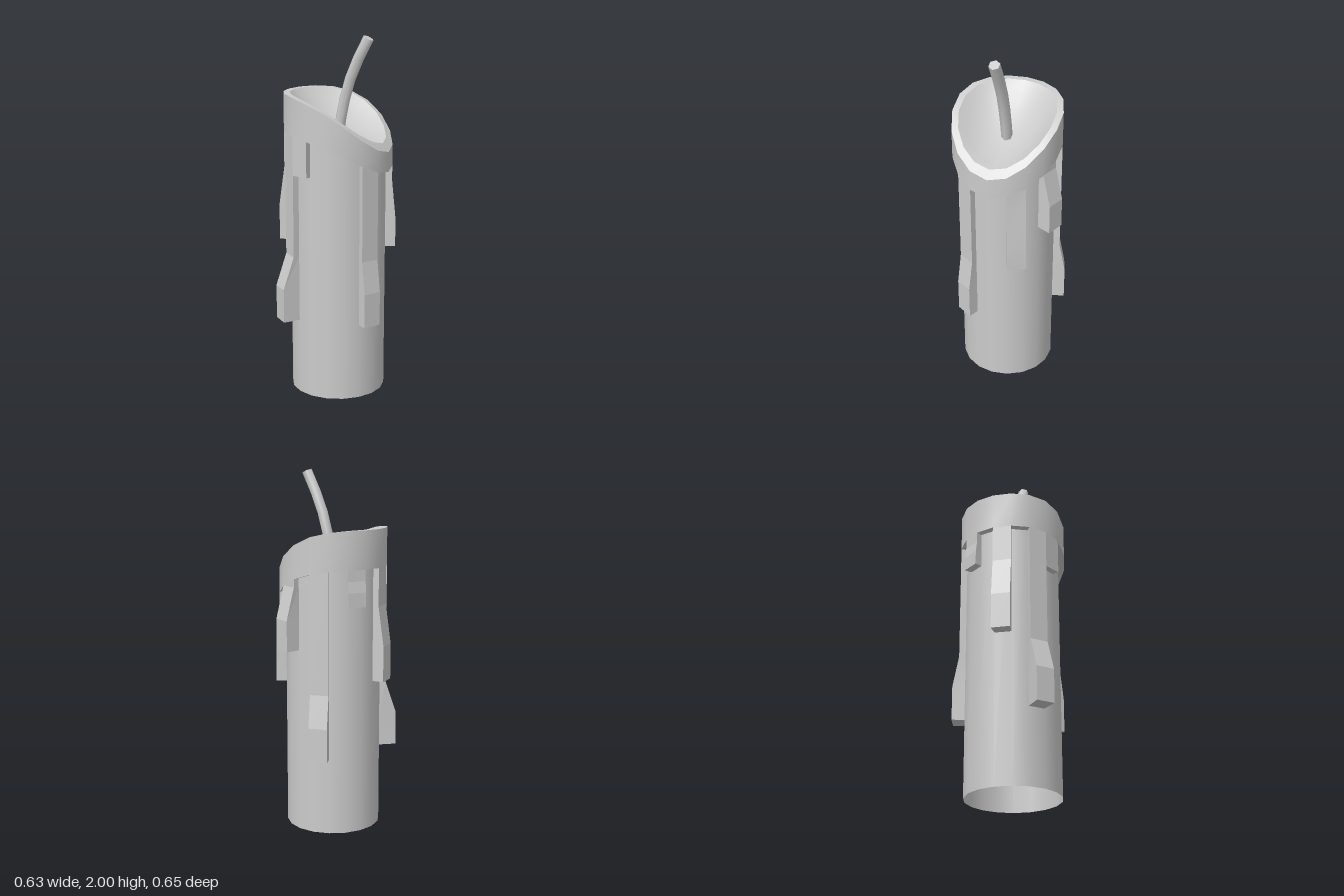
import * as THREE from 'three';
import { toCreasedNormals } from 'three/addons/utils/BufferGeometryUtils.js';

const SIDES = 18;
const BODY_R = 0.264;
const COLLAR_R = 0.3;
const STEP = (Math.PI * 2) / SIDES;

// The top of the candle slumps towards +x; the collar's lower edge follows it
const slump = (x) => Math.pow(Math.max(0, (x + COLLAR_R) / (2 * COLLAR_R)), 2.5);
const rimY = (x) => 1.69 - 0.31 * slump(x);
const skirtY = (x) => 1.48 - 0.21 * slump(x);

// Wax runs: facet index, bottom height, outward swell, heights where the swell starts and ends
const DRIPS = [
  { facet: 1, bottom: 0.43, swell: 0.025, from: 0.8, to: 0.62 },
  { facet: 5, bottom: 1.26, swell: 0 },
  { facet: 6, bottom: 0.43, swell: 0.062, from: 0.8, to: 0.62 },
  { facet: 8, bottom: 0.85, swell: 0.031, from: 1.27, to: 1.05 },
  { facet: 10, bottom: 1.28, swell: 0.008, from: 1.42, to: 1.36 },
  { facet: 12, bottom: 0.43, swell: 0.034, from: 0.8, to: 0.62 },
  { facet: 14, bottom: 1.03, swell: 0.048, from: 1.38, to: 1.2 },
  { facet: 16, bottom: 0.82, swell: 0.022, from: 1.2, to: 0.98 },
];

const material = new THREE.MeshStandardMaterial({ color: 0xcccccc });
const openMaterial = new THREE.MeshStandardMaterial({ color: 0xcccccc, side: THREE.DoubleSide });

// Point on the candle at an angle; y may be a height or a function of x
function ringPoint(angle, radius, y) {
  const x = radius * Math.cos(angle);
  return new THREE.Vector3(x, typeof y === 'function' ? y(x) : y, radius * Math.sin(angle));
}

function quadMesh(name, quads, crease) {
  const points = quads.flatMap(([a, b, c, d]) => [a, b, c, a, c, d]);
  const geometry = new THREE.BufferGeometry().setFromPoints(points);
  const mesh = new THREE.Mesh(toCreasedNormals(geometry, crease), material);
  mesh.name = name;
  return mesh;
}

// Four corners of one facet at a height, the outer pair pushed out by the swell
function section(facet, y, swell = 0) {
  const a = facet * STEP, b = a + STEP, mid = a + STEP / 2;
  const push = new THREE.Vector3(Math.cos(mid), 0, Math.sin(mid)).multiplyScalar(swell);
  return {
    outA: ringPoint(a, COLLAR_R, y).add(push),
    outB: ringPoint(b, COLLAR_R, y).add(push),
    inA: ringPoint(a, BODY_R, y),
    inB: ringPoint(b, BODY_R, y),
  };
}

const outerFace = (hi, lo) => [lo.outB, lo.outA, hi.outA, hi.outB];
const underFace = (s) => [s.outA, s.outB, s.inB, s.inA];

function makeBody() {
  const geometry = new THREE.CylinderGeometry(BODY_R, BODY_R, 1, SIDES, 1, true, Math.PI / 2);
  const p = geometry.attributes.position;
  for (let i = 0; i < p.count; i++) p.setY(i, p.getY(i) > 0 ? rimY(p.getX(i)) : 0);
  const mesh = new THREE.Mesh(geometry, openMaterial);
  mesh.name = 'candleBody';
  return mesh;
}

function makeCollar() {
  const quads = [];
  for (let i = 0; i < SIDES; i++) {
    const top = section(i, rimY), low = section(i, skirtY);
    quads.push(outerFace(top, low), [top.outB, top.outA, top.inA, top.inB]);
    quads.push(underFace(low));
  }
  return quadMesh('waxCollar', quads, 0.6);
}

function makeDrip({ facet, bottom, swell, from, to }) {
  const sections = [section(facet, skirtY)];
  if (swell) sections.push(section(facet, from), section(facet, to, swell));
  sections.push(section(facet, bottom, swell));
  const quads = [underFace(sections[sections.length - 1])];
  for (let i = 1; i < sections.length; i++) {
    const hi = sections[i - 1], lo = sections[i];
    quads.push(outerFace(hi, lo));
    quads.push([lo.outA, lo.inA, hi.inA, hi.outA]);
    quads.push([lo.inB, lo.outB, hi.outB, hi.inB]);
  }
  return quadMesh('waxDrip', quads, 0.1);
}

// Hollow melted into the top, meeting the inner edge of the rim
function makeBowl() {
  const geometry = new THREE.RingGeometry(0.001, BODY_R, SIDES, 6).rotateX(-Math.PI / 2);
  const p = geometry.attributes.position;
  for (let i = 0; i < p.count; i++) {
    const r = Math.hypot(p.getX(i), p.getZ(i)) / BODY_R;
    p.setY(i, rimY(p.getX(i)) - 0.145 * (1 - r * r));
  }
  geometry.computeVertexNormals();
  const mesh = new THREE.Mesh(geometry, openMaterial);
  mesh.name = 'meltedBowl';
  return mesh;
}

// Six-sided stick bent along a curve
function makeWick() {
  const curve = new THREE.CatmullRomCurve3([
    new THREE.Vector3(0.006, 1.47, 0),
    new THREE.Vector3(0.032, 1.62, 0),
    new THREE.Vector3(0.085, 1.8, 0),
    new THREE.Vector3(0.177, 1.985, 0),
  ]);
  const geometry = new THREE.CylinderGeometry(0.031, 0.031, 1, 6, 5, false, Math.PI / 2);
  const p = geometry.attributes.position;
  for (let i = 0; i < p.count; i++) {
    const t = THREE.MathUtils.clamp(p.getY(i) + 0.5, 0, 1);
    const c = curve.getPoint(t), dir = curve.getTangent(t), x = p.getX(i);
    p.setXYZ(i, c.x + x * dir.y, c.y - x * dir.x, p.getZ(i));
  }
  const mesh = new THREE.Mesh(toCreasedNormals(geometry, 1.2), material);
  mesh.name = 'wick';
  return mesh;
}

export function createModel() {
  const group = new THREE.Group();
  group.name = 'candle';
  const candle = new THREE.Group();
  candle.name = 'candleParts';
  candle.position.set(0.015, 0, 0.02);
  candle.add(makeBody(), makeCollar(), makeBowl(), makeWick());
  DRIPS.forEach((drip) => candle.add(makeDrip(drip)));
  group.add(candle);
  return group;
}
